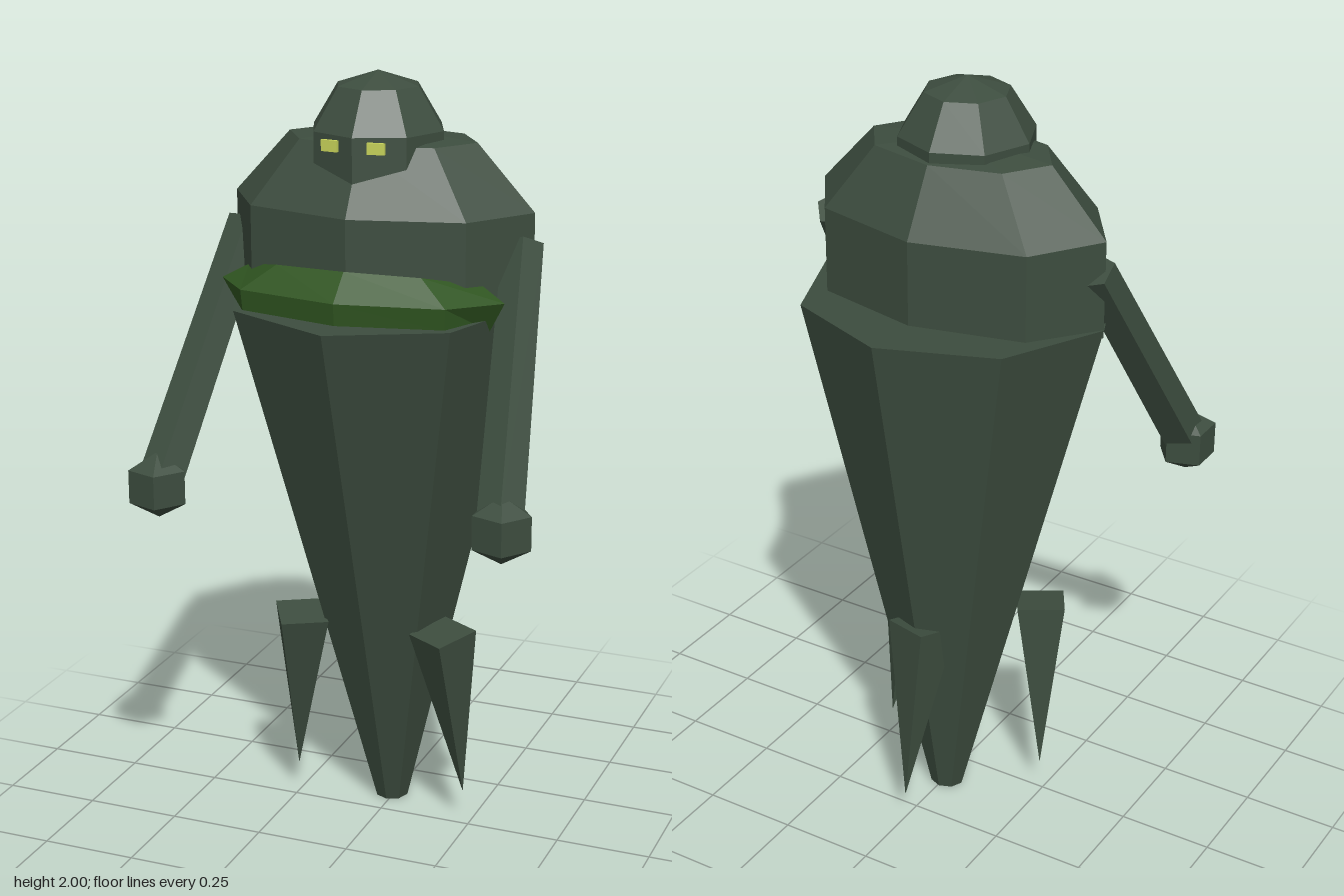
import * as THREE from 'three';

const cloth = new THREE.MeshStandardMaterial({ name: 'dark green cloth', color: 0x3d4d3f, flatShading: true });
const moss = new THREE.MeshStandardMaterial({ name: 'moss green', color: 0x2f5420, flatShading: true, side: THREE.DoubleSide });
const glow = new THREE.MeshStandardMaterial({ name: 'pale yellow', color: 0xc8d45a, flatShading: true });

const V = (x, y, z) => new THREE.Vector3(x, y, z);
const UP = V(0, 1, 0);

function lathe8(points) {
  return new THREE.LatheGeometry(points.map(([r, y]) => new THREE.Vector2(r, y)), 8);
}

// Tapered prism running from a to b
function limb(a, b, rA, rB, sides, spin) {
  const dir = b.clone().sub(a);
  const geo = new THREE.CylinderGeometry(rB, rA, dir.length(), sides);
  geo.rotateY(spin);
  geo.applyQuaternion(new THREE.Quaternion().setFromUnitVectors(UP, dir.normalize()));
  const mid = a.clone().add(b).multiplyScalar(0.5);
  return geo.translate(mid.x, mid.y, mid.z);
}

// Crescent collar lofted through mirrored four-point sections
function collarGeometry() {
  const half = [
    [[0.375, 1.475, 0.12], [0.335, 1.4, 0.11], [0.25, 1.42, 0.02], [0.31, 1.51, 0.1]],
    [[0.268, 1.48, 0.245], [0.265, 1.425, 0.24], [0.2, 1.42, 0.1], [0.19, 1.54, 0.2]],
    [[0, 1.48, 0.295], [0, 1.425, 0.29], [0, 1.42, 0.15], [0, 1.545, 0.228]],
  ];
  const mirrored = half.slice(0, 2).reverse().map((s) => s.map(([x, y, z]) => [-x, y, z]));
  const rows = [...half, ...mirrored];
  const index = [];
  for (let i = 0; i < rows.length - 1; i++) {
    for (let j = 0; j < 4; j++) {
      const a = i * 4 + j, b = i * 4 + (j + 1) % 4;
      index.push(a, a + 4, b, b, a + 4, b + 4);
    }
  }
  const e = (rows.length - 1) * 4;
  index.push(0, 1, 2, 0, 2, 3, e, e + 2, e + 1, e, e + 3, e + 2);
  const geo = new THREE.BufferGeometry();
  geo.setAttribute('position', new THREE.Float32BufferAttribute(rows.flat(2), 3));
  geo.setIndex(index);
  geo.computeVertexNormals();
  return geo;
}

export function createModel() {
  const model = new THREE.Group();
  model.name = 'hoodedFigure';
  const add = (name, geo, mat) => {
    const mesh = new THREE.Mesh(geo, mat);
    mesh.name = name;
    mesh.position.x = -0.007;
    model.add(mesh);
    return mesh;
  };

  // Leaning robe that narrows to the ground
  const robe = add('robe', new THREE.CylinderGeometry(0.402, 0.045, 1.44, 8), cloth);
  robe.position.set(-0.007, 0.722, -0.066);
  robe.rotation.x = 0.05;

  // Shoulders and hood
  const torso = add('torso', lathe8([[0, 1.42], [0.4, 1.42], [0.4, 1.67], [0.25, 1.832], [0, 1.86]]), cloth);
  torso.scale.z = 0.61;
  torso.position.z = -0.028;
  add('head', lathe8([[0, 1.74], [0.172, 1.74], [0.172, 1.86], [0.107, 1.965], [0, 2]]), cloth);

  add('collar', collarGeometry(), moss);

  for (const s of [1, -1]) {
    const side = s > 0 ? 'left' : 'right';

    // Eyes, lying across the front of the face
    const eye = add(side + 'Eye', new THREE.BoxGeometry(0.044, 0.028, 0.009), glow);
    eye.position.set(s * 0.06 - 0.007, 1.837, 0.166);
    eye.rotation.y = s * 0.12;

    // Arms and faceted hands
    add(side + 'Arm', limb(V(s * 0.45, 0.985, 0.355), V(s * 0.37, 1.59, -0.03), 0.06, 0.053, 5, 0.3), cloth);
    const hand = add(side + 'Hand', new THREE.SphereGeometry(0.086, 5, 3), cloth);
    hand.position.set(s * 0.455 - 0.007, 0.985, 0.353);
    hand.rotation.y = Math.PI;

    // Pointed tatters beside the robe
    add(side + 'Tatter', limb(V(s * 0.238, 0.09, -0.01), V(s * 0.198, 0.565, 0.05), 0, 0.088, 4, s * 0.25), cloth);
  }

  // Pointed tatter at the back
  add('backTatter', limb(V(0, 0.085, -0.315), V(0, 0.575, -0.22), 0, 0.088, 4, 0.5), cloth);

  return model;
}
